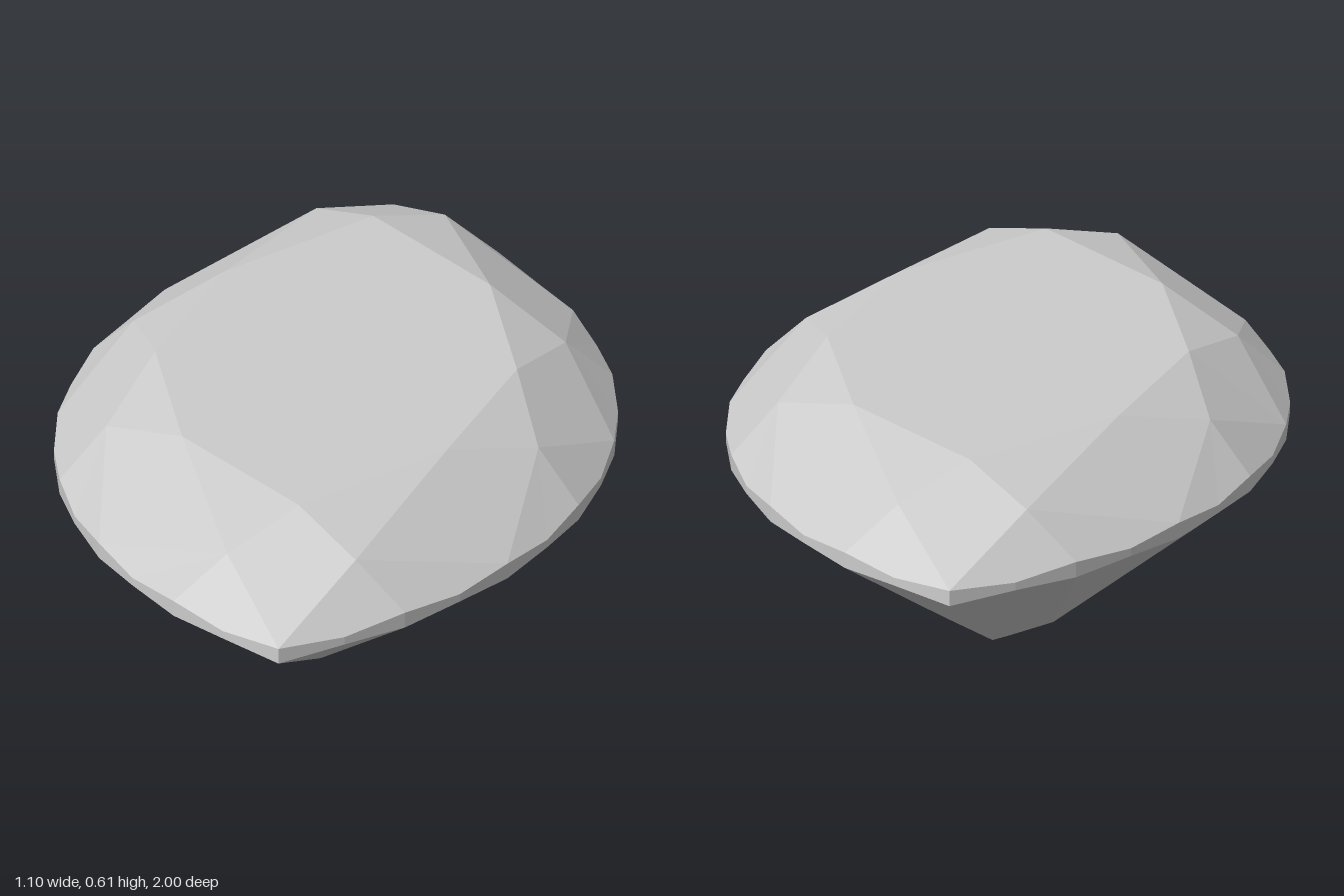
import * as THREE from 'three';

const COUNT = 32;                       // points round the girdle, 0 = front tip, 8 = left side
const RADIUS = 1.184, OFFSET = 0.634;   // the outline is two mirrored circular arcs
const SWEEP = Math.asin(1 / RADIUS);
const TABLE_Y = 0.612, STAR_Y = 0.56, BREAK_Y = 0.09;

// Point on the pointed-oval outline, scaled about the axis, at height y
function outline(i, y, scale = 1) {
  i = ((i % COUNT) + COUNT) % COUNT;
  const side = i <= 16 ? 1 : -1;
  const phi = SWEEP * (1 - (side > 0 ? i : COUNT - i) / 8);
  return [side * scale * (RADIUS * Math.cos(phi) - OFFSET), y, scale * RADIUS * Math.sin(phi)];
}

// Scalloped upper and lower girdle edges
const upper = i => outline(i, i % 2 ? 0.457 : 0.467);
const lower = i => outline(i, i % 2 ? 0.441 : 0.435);
// Table corners and pavilion break points lie on the eight main directions
const tableCorner = k => outline(4 * k, TABLE_Y, 0.65);
const breakPoint = k => outline(4 * k, BREAK_Y, 0.265);

// Outer corner of the star facet between table corners k and k + 1
function starPoint(k) {
  k = (k + 8) % 8;
  const nearTip = k % 4 === 0 || k % 4 === 3;
  const [x, , z] = outline(4 * k + 2, 0);
  return [Math.sign(x) * (nearTip ? 0.127 : 0.427), STAR_Y, Math.sign(z) * (nearTip ? 0.777 : 0.237)];
}

// Flat-faced mesh from a list of triangles with separate corners
function facets(name, triangles, material) {
  const geometry = new THREE.BufferGeometry();
  geometry.setAttribute('position', new THREE.Float32BufferAttribute(triangles.flat(2), 3));
  geometry.computeVertexNormals();
  const mesh = new THREE.Mesh(geometry, material);
  mesh.name = name;
  return mesh;
}

export function createModel() {
  const stone = new THREE.MeshStandardMaterial({ color: 0xcccccc });
  stone.name = 'pale grey stone';

  const table = [], stars = [], bezels = [], upperHalves = [], girdle = [], lowerHalves = [], mains = [], culet = [];

  for (let k = 0; k < 8; k++) {
    const m = 4 * k;
    // Crown: flat table, star triangles and kite-shaped bezels
    table.push([[0, TABLE_Y, 0], tableCorner(k), tableCorner(k + 1)]);
    stars.push([tableCorner(k), starPoint(k), tableCorner(k + 1)]);
    bezels.push([tableCorner(k), starPoint(k - 1), upper(m)], [tableCorner(k), upper(m), starPoint(k)]);
    for (let i = m; i < m + 4; i++) {
      upperHalves.push([starPoint(k), upper(i), upper(i + 1)]);
      // Pavilion halves fan out from the nearest break point
      lowerHalves.push([breakPoint(i < m + 2 ? k : k + 1), lower(i + 1), lower(i)]);
    }
    // Pavilion mains and the shallow point below them
    mains.push([breakPoint(k), breakPoint(k + 1), lower(m + 2)]);
    culet.push([[0, 0, 0], breakPoint(k + 1), breakPoint(k)]);
  }

  // Thin band round the widest part
  for (let i = 0; i < COUNT; i++) {
    girdle.push([lower(i), lower(i + 1), upper(i + 1)], [lower(i), upper(i + 1), upper(i)]);
  }

  // Pavilion mains wind the other way from the crown
  mains.forEach(t => t.reverse().push(t.shift()));
  mains.forEach(t => orientOutward(t));

  const gem = new THREE.Group();
  gem.name = 'cutGem';
  const parts = { table, starFacets: stars, bezelFacets: bezels, upperGirdleFacets: upperHalves,
    girdle, lowerGirdleFacets: lowerHalves, pavilionFacets: mains, culet };
  for (const [name, triangles] of Object.entries(parts)) gem.add(facets(name, triangles, stone));
  return gem;
}

// Flip a triangle whose normal points towards the middle of the stone
function orientOutward(t) {
  const [a, b, c] = t.map(p => new THREE.Vector3(...p));
  const normal = b.clone().sub(a).cross(c.clone().sub(a));
  if (normal.dot(a.sub(new THREE.Vector3(0, 0.45, 0))) < 0) t.reverse();
}
